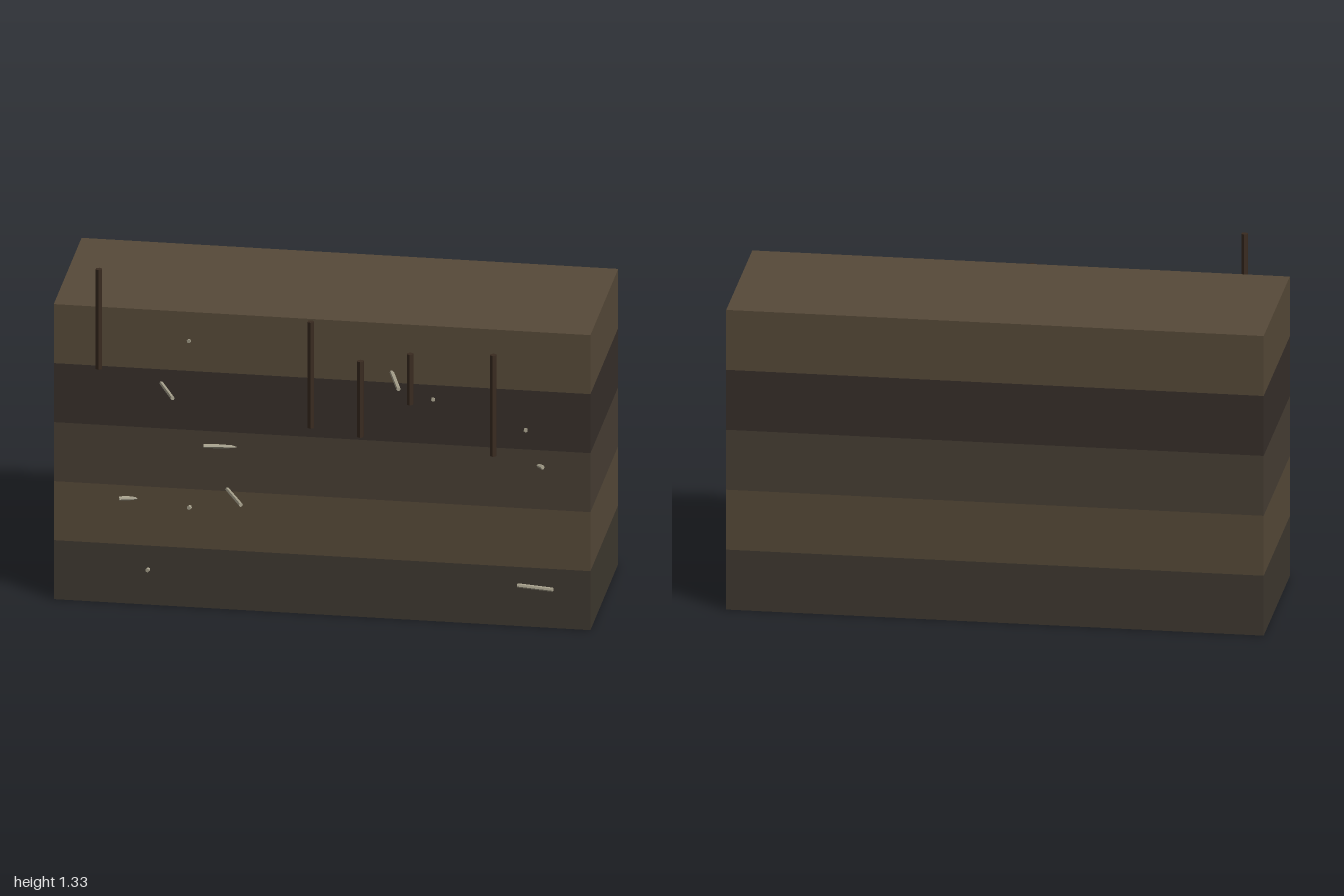
import * as THREE from 'three';

export function createModel() {
  const model = new THREE.Group();
  const mat = (color) => new THREE.MeshStandardMaterial({ color, flatShading: true });
  const FRONT = 0.25, BACK = -0.415, LAYER = 0.234;

  // Soil strata, bottom to top
  const soil = [0x3f3930, 0x574a39, 0x483f34, 0x372f2a, 0x574a39];
  const strata = new THREE.Group();
  strata.name = 'soilStrata';
  soil.forEach((color, i) => {
    const layer = new THREE.Mesh(new THREE.BoxGeometry(2, LAYER, FRONT - BACK), mat(color));
    layer.position.set(0, (i + 0.5) * LAYER, (FRONT + BACK) / 2);
    layer.name = `soilLayer${i + 1}`;
    strata.add(layer);
  });
  model.add(strata);

  // A thin rod between two points
  const up = new THREE.Vector3(0, 1, 0);
  function rod(a, b, radius, sides, material, name) {
    const start = new THREE.Vector3(...a);
    const dir = new THREE.Vector3(...b).sub(start);
    const mesh = new THREE.Mesh(new THREE.CylinderGeometry(radius, radius, dir.length(), sides), material);
    mesh.position.copy(start).addScaledVector(dir, 0.5);
    mesh.quaternion.setFromUnitVectors(up, dir.normalize());
    mesh.name = name;
    return mesh;
  }

  // Roots hanging down the cut face: x, bottom, top
  const roots = new THREE.Group();
  roots.name = 'roots';
  const rootMat = mat(0x3a2b20);
  [
    [-0.83, 0.93, 1.325],
    [-0.04, 0.745, 1.165],
    [0.145, 0.72, 1.02],
    [0.33, 0.86, 1.06],
    [0.64, 0.675, 1.075],
  ].forEach(([x, y0, y1], i) =>
    roots.add(rod([x, y0, 0.263], [x, y1, 0.263], 0.013, 6, rootMat, `root${i + 1}`)));
  model.add(roots);

  // Bones lying level in the soil: y, then x and z of the inner and outer ends
  const bones = new THREE.Group();
  bones.name = 'bones';
  const boneMat = mat(0xaaa48f);
  [
    [0.88, -0.605, 0.235, -0.535, 0.39],
    [0.475, -0.36, 0.235, -0.28, 0.395],
    [0.977, 0.255, 0.235, 0.31, 0.412],
    [0.165, 0.73, 0.26, 0.865, 0.283],
    [0.645, -0.32, 0.243, -0.44, 0.258],
    [0.418, -0.64, 0.23, -0.755, 0.26],
    [0.64, 0.74, 0.18, 0.825, 0.265],
    [1.055, -0.47, 0.12, -0.497, 0.254],
    [0.88, 0.39, 0.12, 0.415, 0.256],
    [0.78, 0.74, 0.12, 0.76, 0.258],
    [0.397, -0.47, 0.12, -0.495, 0.262],
    [0.14, -0.63, 0.12, -0.65, 0.262],
  ].forEach(([y, x0, z0, x1, z1], i) =>
    bones.add(rod([x0, y, z0], [x1, y, z1], 0.008, 6, boneMat, `bone${i + 1}`)));
  model.add(bones);

  return model;
}
